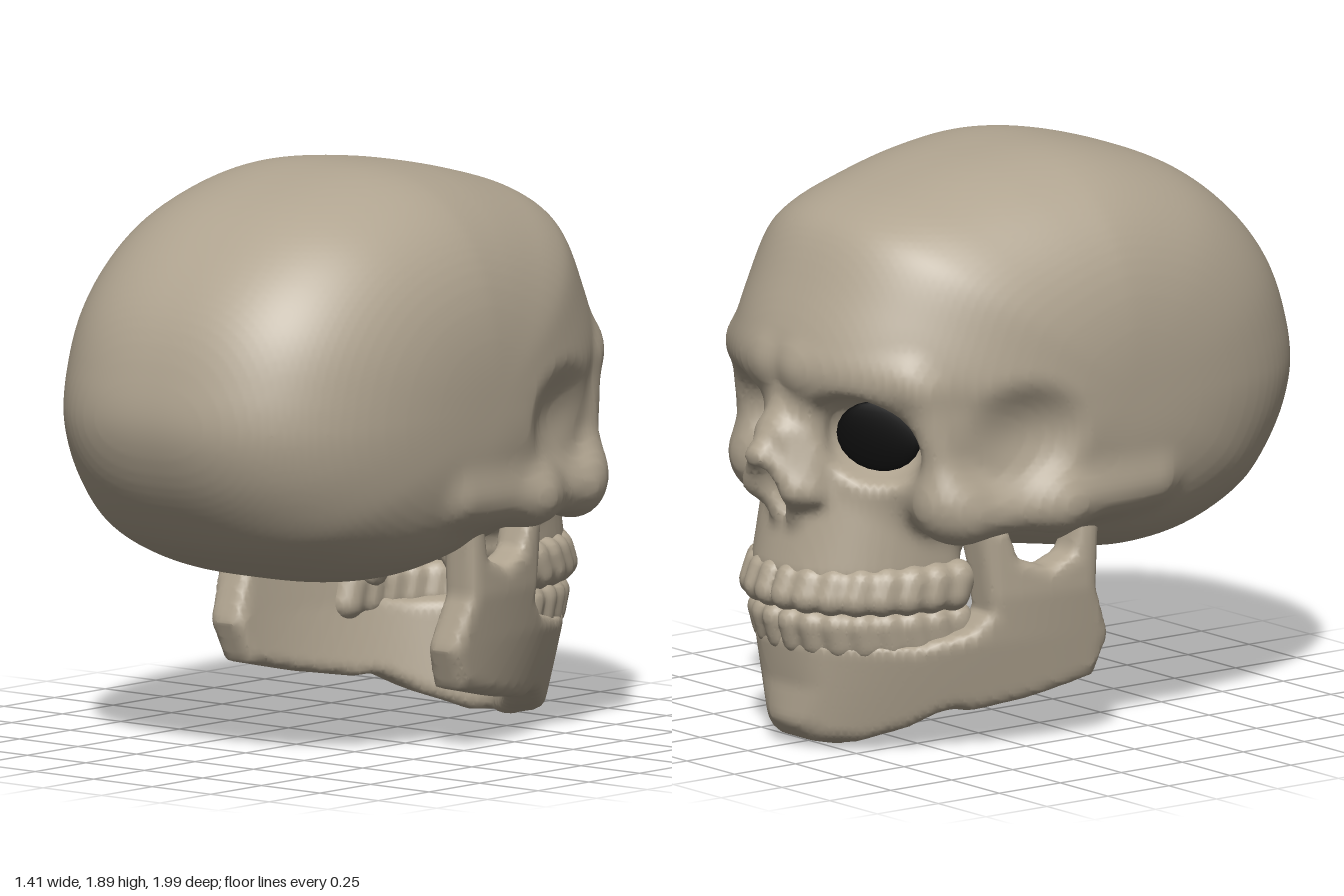
import * as THREE from 'three';

const bone = new THREE.MeshStandardMaterial({ color: 0xb0a490 });
const dark = new THREE.MeshStandardMaterial({ color: 0x0c0c0c });
const { abs, min, max, hypot, pow, PI } = Math;
const clamp = THREE.MathUtils.clamp;

// --- distance-field helpers (x is always folded to the left half) ---
const join = (a, b, k) => { const h = max(k - abs(a - b), 0) / k; return min(a, b) - h * h * k / 4; };
const cut = (a, b, k) => -join(-a, b, k);          // a without b
const both = (a, b, k) => -join(-a, -b, k);        // overlap of a and b
function ellipsoid(x, y, z, r) {
  const a = hypot(x / r[0], y / r[1], z / r[2]);
  const b = hypot(x / r[0] ** 2, y / r[1] ** 2, z / r[2] ** 2);
  return b < 1e-6 ? -min(...r) : a * (a - 1) / b;
}
// tapered rod between a and b
function rod(x, y, z, a, b, ra, rb) {
  const dx = b[0] - a[0], dy = b[1] - a[1], dz = b[2] - a[2];
  const px = x - a[0], py = y - a[1], pz = z - a[2];
  const t = clamp((px * dx + py * dy + pz * dz) / (dx * dx + dy * dy + dz * dz), 0, 1);
  return hypot(px - dx * t, py - dy * t, pz - dz * t) - (ra + (rb - ra) * t);
}
function polygon(px, py, pts) {
  let d = Infinity, s = 1;
  for (let i = 0, j = pts.length - 1; i < pts.length; j = i++) {
    const [ax, ay] = pts[i], [bx, by] = pts[j];
    const ex = bx - ax, ey = by - ay, wx = px - ax, wy = py - ay;
    const t = clamp((wx * ex + wy * ey) / (ex * ex + ey * ey), 0, 1);
    d = min(d, hypot(wx - ex * t, wy - ey * t));
    if ((ay > py) !== (by > py) && px < ex * wy / ey + ax) s = -s;
  }
  return s * d;
}

// Smooth surface where field = 0, inside the box lo..hi (one vertex per crossed cell)
function skin(field, lo, hi, step) {
  const n = lo.map((v, i) => Math.ceil((hi[i] - v) / step) + 1);
  const stride = [1, n[0], n[0] * n[1]];
  const val = new Float32Array(n[0] * n[1] * n[2]);
  const cell = new Int32Array(val.length).fill(-1);
  const pos = [], idx = [];
  const each = (m, fn) => {
    for (let k = 0; k < n[2] - m; k++) for (let j = 0; j < n[1] - m; j++) for (let i = 0; i < n[0] - m; i++)
      fn([i, j, k], i + j * stride[1] + k * stride[2]);
  };
  each(0, (g, q) => { val[q] = field(abs(lo[0] + g[0] * step), lo[1] + g[1] * step, lo[2] + g[2] * step); });
  each(1, (g, q) => {
    const sum = [0, 0, 0];
    let count = 0;
    for (let c = 0; c < 8; c++) for (let a = 0; a < 3; a++) {
      if (c >> a & 1) continue;
      const o = [c & 1, c >> 1 & 1, c >> 2 & 1];
      const p = q + o[0] + o[1] * stride[1] + o[2] * stride[2];
      const v = val[p], w = val[p + stride[a]];
      if ((v < 0) === (w < 0)) continue;
      o[a] += v / (v - w);
      o.forEach((t, i) => { sum[i] += t; });
      count++;
    }
    if (!count) return;
    cell[q] = pos.length / 3;
    for (let i = 0; i < 3; i++) pos.push(lo[i] + (g[i] + sum[i] / count) * step);
  });
  each(1, (g, q) => {
    for (let a = 0; a < 3; a++) {
      const b = (a + 1) % 3, c = (a + 2) % 3;
      if (!g[b] || !g[c] || (val[q] < 0) === (val[q + stride[a]] < 0)) continue;
      const r = [q, q - stride[b], q - stride[b] - stride[c], q - stride[c]].map(t => cell[t]);
      if (val[q] >= 0) r.reverse();
      idx.push(r[0], r[1], r[2], r[0], r[2], r[3]);
    }
  });
  const geo = new THREE.BufferGeometry();
  geo.setAttribute('position', new THREE.Float32BufferAttribute(pos, 3));
  geo.setIndex(idx);
  geo.computeVertexNormals();
  return geo;
}

// Braincase side profile (z, y), stored as radius by angle around its centre
const CZ = 0.05, CY = 1.15, BINS = 256;
const profile = [[1, 1.12], [0.97, 1.3], [0.9, 1.47], [0.78, 1.62], [0.6, 1.755], [0.4, 1.835], [0.13, 1.885],
  [-0.15, 1.865], [-0.42, 1.805], [-0.6, 1.745], [-0.7, 1.68], [-0.8, 1.51], [-0.885, 1.28], [-0.86, 1.15], [-0.78, 0.95],
  [-0.6, 0.74], [-0.3, 0.63], [0, 0.58], [0.25, 0.55], [0.5, 0.58], [0.72, 0.67], [0.82, 0.75], [0.95, 0.94]];
const radii = new Float32Array(BINS);
const turn = (z, y) => (Math.atan2(y, z) / (2 * PI) + 1) % 1 * BINS;
new THREE.CatmullRomCurve3(profile.map(([z, y]) => new THREE.Vector3(z - CZ, y - CY, 0)), true)
  .getPoints(6000).forEach(p => { radii[Math.round(turn(p.x, p.y)) % BINS] = hypot(p.x, p.y); });
function braincase(x, y, z) {
  const t = turn(z - CZ, y - CY), i = Math.floor(t), f = t - i;
  const r = radii[i % BINS] * (1 - f) + radii[(i + 1) % BINS] * f;
  const angle = t / BINS * 2 * PI;
  // boxier underneath, rounder at the forehead
  const p = 2.65 + 0.4 * max(0, -Math.sin(angle)) - 0.4 * max(0, -Math.cos(angle));
  return (pow(pow(hypot(z - CZ, y - CY) / r, p) + pow(x / 0.69, p), 1 / p) - 1) * 0.65;
}

// Upper jaw block: horseshoe in plan, leaning back as it rises
function maxilla(x, y, z) {
  const depth = 0.465 - 0.08 * clamp((y - 0.56) / 0.35, 0, 1);
  const plan = (pow(pow(x / 0.355, 2.4) + pow(max(0, -0.42 - z) / depth, 2.4), 1 / 2.4) - 1) * 0.36;
  return both(both(plan, z + 0.38, 0.06), max(0.54 - y, y - 1), 0.05);
}

// Eye socket, turned outwards
const EYE = [0.305, 1.03, -0.78], TURN = 0.48, SIN = Math.sin(TURN), COS = Math.cos(TURN);
function socket(x, y, z) {
  const dx = x - EYE[0], dz = z - EYE[2], u = dx * COS + dz * SIN;
  return ellipsoid(u, y - EYE[1] + 0.15 * u, dx * SIN - dz * COS, [0.19, 0.145, 0.3]);
}

function skullField(x, y, z) {
  let d = braincase(x, y, z);
  if (z > 0.35 || y > 1.5) return d;
  d = cut(d, ellipsoid(x - 0.72, y - 1.05, z + 0.4, [0.15, 0.18, 0.24]), 0.06);              // temple hollow
  d = join(d, maxilla(x, y, z), 0.08);
  d = join(d, rod(x, y, z, [0.08, 1.245, -0.81], [0.42, 1.235, -0.67], 0.06, 0.055), 0.08);  // brow ridge
  d = join(d, rod(x, y, z, [0.46, 1.2, -0.63], [0.5, 0.88, -0.57], 0.05, 0.06), 0.06);       // outer eye rim
  d = join(d, ellipsoid(x - 0.48, y - 0.82, z + 0.55, [0.11, 0.11, 0.11]), 0.1);             // cheekbone
  d = join(d, rod(x, y, z, [0.53, 0.8, -0.5], [0.61, 0.815, -0.2], 0.08, 0.065), 0.08);      // cheek arch
  d = join(d, rod(x, y, z, [0.61, 0.815, -0.2], [0.63, 0.84, 0.16], 0.065, 0.03), 0.12);
  d = join(d, rod(x, y, z, [0.13, 0.62, -0.36], [0.2, 0.46, -0.37], 0.06, 0.04), 0.06);      // plates behind palate
  d = cut(d, socket(x, y, z), 0.04);
  d = cut(d, ellipsoid(x, y - 0.86, z + 0.87, [0.1, 0.115, 0.17]), 0.03);                    // nasal opening
  d = join(d, rod(x, y, z, [0.06, 1.1, -0.8], [0.125, 0.85, -0.84], 0.05, 0.045), 0.05);     // sides of nose
  d = join(d, rod(x, y, z, [0.045, 1.03, -0.88], [0.1, 0.86, -0.885], 0.045, 0.035), 0.05);
  d = join(d, rod(x, y, z, [0.03, 0.965, -0.95], [0.095, 0.86, -0.89], 0.025, 0.03), 0.04);
  d = join(d, rod(x, y, z, [0.095, 0.86, -0.885], [0.04, 0.765, -0.83], 0.03, 0.035), 0.04);
  return join(d, rod(x, y, z, [0, 1.12, -0.82], [0, 0.965, -0.965], 0.06, 0.025), 0.05);     // nasal bridge
}

// Lower jaw: side outline (z, y) wrapped round a horseshoe plan
const jawSide = [[0.025, 0.77], [0.01, 0.5], [0.075, 0.33], [0.025, 0.195], [-0.2, 0.145], [-0.45, 0.105], [-0.58, 0.025],
  [-0.7, -0.008], [-0.8, 0.015], [-0.87, 0.075], [-0.85, 0.2], [-0.88, 0.37], [-0.6, 0.35], [-0.43, 0.39], [-0.375, 0.45],
  [-0.415, 0.74], [-0.32, 0.73], [-0.28, 0.62], [-0.17, 0.58], [-0.08, 0.62], [-0.05, 0.77]];
function jawField(x, y, z) {
  const a = 0.44 + 0.06 * clamp(y / 0.5, 0, 1), f = max(0, 0.05 - z) / 0.86;
  const p = 1.6 + 0.5 * clamp(y / 0.35, 0, 1);                       // chin is pointed, tooth line is round
  const q = pow(pow(x / a, p) + pow(f, p), 1 / p);
  const plan = (q - 1) * (a + (0.86 - a) * f * f * 0.6);
  const lift = 0.25 * max(0, x - 0.08) * clamp(1 - y / 0.25, 0, 1) * clamp((-0.4 - z) / 0.1, 0, 1);
  return both(polygon(z, y - lift, jawSide), abs(plan + 0.015) - 0.07, 0.04);
}

// Teeth: rounded pegs along the dental arch, melting into each other
const half = [[-0.36, -0.4], [-0.335, -0.6], [-0.25, -0.765], [-0.13, -0.85], [0, -0.875]];
const arch = new THREE.CatmullRomCurve3([...half, ...half.slice(0, 4).reverse().map(([x, z]) => [-x, z])]
  .map(([x, z]) => new THREE.Vector3(x, 0, z)));
const teeth = [0, 1, 2, 3, 4, 5, 6, 7].map(i => arch.getPointAt(0.5 + (i + 0.5) / 16));
const row = (scale, dz, yTip, yRoot, r) => (x, y, z) => teeth.reduce((d, t, i) => join(d,
  rod(x, y, z, [t.x * scale, yTip, t.z + dz], [t.x * scale, yRoot, t.z + dz + 0.02], r + i * 0.001, r + i * 0.001), 0.025), 1);

export function createModel() {
  const model = new THREE.Group();
  const add = (name, geo, mat = bone) => {
    const m = new THREE.Mesh(geo, mat);
    m.name = name;
    model.add(m);
    return m;
  };
  add('cranium', skin(skullField, [-0.74, 0.38, -1.04], [0.74, 1.94, 1.04], 0.02));
  add('lowerJaw', skin(jawField, [-0.63, -0.054, -0.954], [0.63, 0.82, 0.13], 0.018));
  add('upperTeeth', skin(row(1, 0, 0.505, 0.555, 0.053), [-0.455, 0.41, -0.97], [0.455, 0.65, -0.28], 0.013));
  add('lowerTeeth', skin(row(0.97, 0.025, 0.415, 0.35, 0.049), [-0.455, 0.26, -0.97], [0.455, 0.5, -0.28], 0.013));

  // Dark openings deep in the sockets and nose
  const ball = new THREE.SphereGeometry(1, 24, 12);
  for (const s of [-1, 1]) {
    const hole = add(s > 0 ? 'leftSocketOpening' : 'rightSocketOpening', ball, dark);
    hole.position.set(s * (EYE[0] - SIN * 0.15), EYE[1], EYE[2] + COS * 0.15);
    hole.scale.set(0.15, 0.115, 0.02);
    hole.rotation.y = -s * TURN;
  }
  const nose = add('nasalOpening', ball, dark);
  nose.position.set(0, 0.86, -0.78);
  nose.scale.set(0.075, 0.09, 0.02);
  return model;
}
